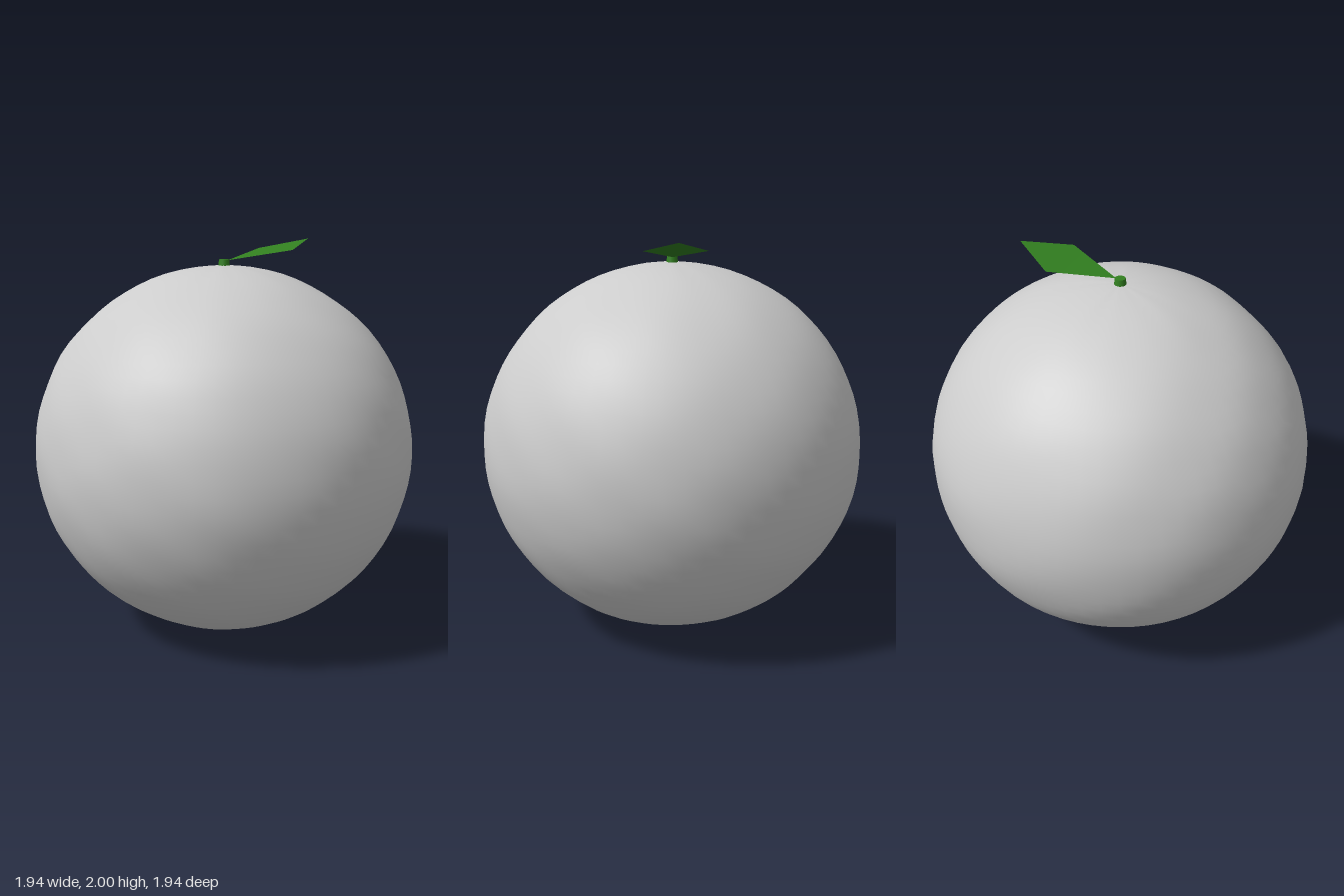
import * as THREE from 'three';
import { mergeVertices } from 'three/addons/utils/BufferGeometryUtils.js';

const RX = 0.972, RY = 0.938;

// Slightly squashed ball with soft bumps and fine creases running into both poles
function fruitGeometry() {
  const g = new THREE.SphereGeometry(1, 64, 40);
  g.deleteAttribute('uv');
  g.deleteAttribute('normal');
  const p = g.attributes.position;
  const v = new THREE.Vector3();
  for (let i = 0; i < p.count; i++) {
    v.fromBufferAttribute(p, i);
    const { x, y, z } = v;
    const ring = Math.hypot(x, z);
    const angle = Math.atan2(z, x);
    const bumps = 0.003 * Math.sin(9 * x + 4 * y) * Math.sin(8 * z - 5 * y + 1)
      + 0.002 * Math.sin(17 * y + 6 * x) * Math.cos(13 * z + 2);
    const crease = 0.004 * ring * Math.exp(-ring * 4)
      * (Math.sin(9 * angle + y) + Math.sin(14 * angle + 2));
    const r = 1 + bumps * Math.min(1, ring * 2) + crease;
    p.setXYZ(i, x * r * RX, y * r * RY, z * r * RX);
  }
  const merged = mergeVertices(g, 1e-5);
  merged.computeVertexNormals();
  return merged;
}

// Four-cornered leaf rising away from the stem
function leafGeometry() {
  const g = new THREE.BufferGeometry();
  g.setAttribute('position', new THREE.Float32BufferAttribute([
    0.02, 1.9, 0,
    0.31, 1.95, 0.155,
    0.52, 2.0, 0,
    0.31, 1.95, -0.155,
  ], 3));
  g.setIndex([0, 1, 3, 1, 2, 3]);
  g.computeVertexNormals();
  return g;
}

export function createModel() {
  const skin = new THREE.MeshStandardMaterial({ color: 0xcccccc });
  skin.name = 'paleSkin';
  const green = new THREE.MeshStandardMaterial({ color: 0x328020, side: THREE.DoubleSide });
  green.name = 'leafGreen';

  const model = new THREE.Group();
  model.name = 'fruit';
  const add = (name, geometry, material, y = 0) => {
    const mesh = new THREE.Mesh(geometry, material);
    mesh.name = name;
    mesh.position.y = y;
    model.add(mesh);
  };

  add('body', fruitGeometry(), skin, RY);
  add('stem', new THREE.CylinderGeometry(0.026, 0.031, 0.045, 16), green, 1.8825);
  add('leaf', leafGeometry(), green);
  return model;
}
